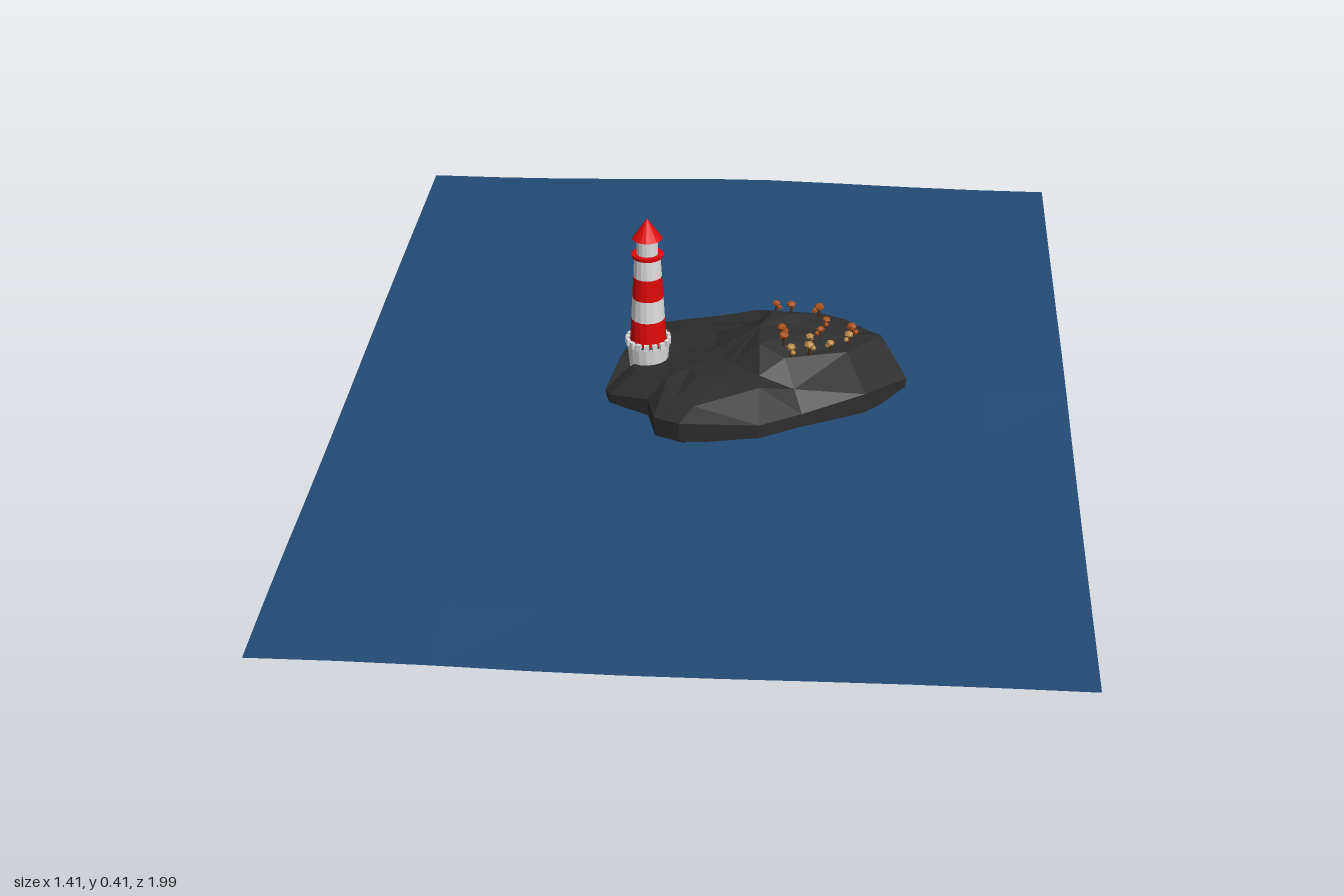
import * as THREE from 'three';

const mat = (name, color, extra = {}) => {
  const m = new THREE.MeshStandardMaterial({ color, flatShading: true, ...extra });
  m.name = name;
  return m;
};

export function createModel() {
  const sea = mat('sea blue', 0x234b76, { side: THREE.DoubleSide });
  const stone = mat('dark rock', 0x2e2e2e, { side: THREE.DoubleSide });
  const white = mat('tower white', 0xdcdcdc);
  const red = mat('tower red', 0xe00808);
  const floorGrey = mat('floor grey', 0x4a4a4a);
  const trunkBrown = mat('trunk brown', 0x4a2a14);
  const orange = mat('leaf orange', 0xa8501a);
  const tan = mat('leaf tan', 0xb98a45);

  const model = new THREE.Group();
  const add = (parent, name, geo, material, x = 0, y = 0, z = 0) => {
    const mesh = new THREE.Mesh(geo, material);
    mesh.name = name;
    mesh.position.set(x, y, z);
    parent.add(mesh);
    return mesh;
  };

  // Sea: a coarse sheet with gentle swells
  const water = new THREE.PlaneGeometry(1.41, 1.99, 9, 12).rotateX(-Math.PI / 2);
  const wp = water.attributes.position;
  const swell = (x, z, cx, cz, r, h) => h * Math.exp(-((x - cx) ** 2 + (z - cz) ** 2) / (r * r));
  for (let i = 0; i < wp.count; i++) {
    const x = wp.getX(i), z = wp.getZ(i);
    const y = 0.054 + 0.003 * Math.sin(x * 5 + z * 2) * Math.cos(z * 3 - x)
      + swell(x, z, -0.45, 0.74, 0.22, 0.011) + swell(x, z, 0.05, 0.55, 0.18, 0.009)
      + swell(x, z, 0.53, -0.1, 0.2, 0.01) - swell(x, z, 0.7, 0.7, 0.3, 0.003);
    wp.setY(i, y);
    if (z < -0.99) wp.setZ(i, -0.985 - 0.015 * Math.exp(-x * x * 12));
  }
  water.computeVertexNormals();
  add(model, 'sea', water, sea);

  // Island outline: x, z, low edge height, high edge height, keel height
  const outline = [
    [-0.13, -0.22, 0.05, 0.075, 0.035], [0.0, -0.215, 0.05, 0.07, 0.02], [0.09, -0.2, 0.05, 0.07, 0.008],
    [0.18, -0.15, 0.045, 0.085, 0.01], [0.3, -0.11, 0.05, 0.1, 0.02], [0.36, -0.05, 0.06, 0.1, 0.03],
    [0.39, 0.02, 0.075, 0.095, 0.035], [0.31, 0.1, 0.05, 0.1, 0.025], [0.19, 0.16, 0.045, 0.085, 0.01],
    [0.11, 0.21, 0.045, 0.085, 0.003], [-0.04, 0.24, 0.06, 0.1, 0.01], [-0.09, 0.21, 0.055, 0.095, 0.02],
    [-0.11, 0.13, 0.05, 0.09, 0.025], [-0.19, 0.08, 0.035, 0.07, 0.025], [-0.2, 0.05, 0.045, 0.065, 0.03],
    [-0.175, -0.02, 0.085, 0.105, 0.08], [-0.16, -0.09, 0.07, 0.1, 0.075], [-0.16, -0.18, 0.05, 0.085, 0.035],
  ];
  // Summit heights blended between a few spots: x, z, height
  const spots = [
    [-0.17, 0, 0.112], [-0.12, 0, 0.116], [-0.07, 0, 0.118], [-0.12, -0.18, 0.1], [-0.05, 0.19, 0.112],
    [0, -0.15, 0.12], [0, 0, 0.138], [0.02, 0.1, 0.142], [0.08, 0.14, 0.145], [0.1, -0.12, 0.142],
    [0.14, 0, 0.2], [0.13, 0.06, 0.19], [0.15, -0.05, 0.202], [0.22, 0.09, 0.172], [0.26, 0.05, 0.187],
    [0.33, 0, 0.186], [0.24, -0.06, 0.19], [0.3, -0.08, 0.145], [0.2, 0.14, 0.115], [0.2, -0.13, 0.115],
  ];
  const height = (x, z) => {
    let sum = 0, weight = 0;
    for (const [sx, sz, h] of spots) {
      const w = 1 / (((x - sx) ** 2 + (z - sz) ** 2) ** 1.6 + 1e-7);
      sum += w * h;
      weight += w;
    }
    return sum / weight;
  };
  const cx = 0.1, cz = 0;
  const ring = (s, yOf) => outline.map((p, i) => {
    const x = cx + (p[0] - cx) * s, z = cz + (p[1] - cz) * s;
    return [x, yOf(p, x, z, i), z];
  });
  const top = (p, x, z) => height(x, z);
  const rings = [
    ring(0, () => 0.055), ring(0.74, p => p[4]), ring(0.99, p => p[2]), ring(1, p => p[3]),
    ring(0.82, top), ring(0.6, top), ring(0.33, top), ring(0, top),
  ];
  const verts = [];
  for (let k = 0; k + 1 < rings.length; k++) {
    for (let i = 0; i < outline.length; i++) {
      const j = (i + 1) % outline.length;
      const a = rings[k][i], b = rings[k][j], c = rings[k + 1][j], d = rings[k + 1][i];
      if (k + 2 < rings.length) verts.push(...a, ...d, ...c);
      if (k > 0) verts.push(...a, ...c, ...b);
    }
  }
  const rockGeo = new THREE.BufferGeometry();
  rockGeo.setAttribute('position', new THREE.Float32BufferAttribute(verts, 3));
  rockGeo.computeVertexNormals();
  const rock = add(model, 'rockIsland', rockGeo, stone);

  // Lighthouse: flared base, striped shaft, gallery, lantern and roof
  const tower = new THREE.Group();
  tower.name = 'lighthouse';
  tower.position.set(-0.118, 0, 0.005);
  model.add(tower);
  const drum = (name, y0, y1, r0, r1, material) =>
    add(tower, name, new THREE.CylinderGeometry(r1, r0, y1 - y0, 16), material, 0, (y0 + y1) / 2, 0);
  drum('base', 0.095, 0.152, 0.037, 0.042, white);
  drum('baseFloor', 0.152, 0.154, 0.041, 0.041, floorGrey);
  for (let i = 0; i < 16; i++) {
    const a = (i / 16) * Math.PI * 2;
    const post = add(tower, 'parapetBlock', new THREE.BoxGeometry(0.01, 0.013, 0.007), white,
      Math.sin(a) * 0.041, 0.156, Math.cos(a) * 0.041);
    post.rotation.y = a;
  }
  const levels = [0.152, 0.205, 0.25, 0.295, 0.337];
  const radius = y => 0.036 - (y - 0.152) * 0.056;
  for (let i = 0; i < 4; i++) {
    drum(i % 2 ? 'whiteBand' : 'redBand', levels[i], levels[i + 1],
      radius(levels[i]), radius(levels[i + 1]), i % 2 ? white : red);
  }
  drum('gallery', 0.336, 0.343, 0.03, 0.031, red);
  drum('lantern', 0.343, 0.378, 0.021, 0.021, white);
  add(tower, 'roof', new THREE.ConeGeometry(0.029, 0.042, 16), red, 0, 0.396, 0);

  // Small autumn shrubs standing on the summit: x, z, tan or orange
  const shrubs = [
    [0.13, -0.06, 0], [0.16, -0.04, 0], [0.215, -0.05, 0], [0.23, -0.01, 0], [0.145, 0.04, 0],
    [0.15, 0.065, 0], [0.22, 0.03, 0], [0.165, 0.09, 1], [0.2, 0.088, 1], [0.24, 0.075, 1],
    [0.275, 0.045, 1], [0.28, 0.02, 0], [0.2, 0.055, 1],
  ];
  const ray = new THREE.Raycaster();
  const down = new THREE.Vector3(0, -1, 0);
  shrubs.forEach(([x, z, pale], i) => {
    ray.set(new THREE.Vector3(x, 1, z), down);
    const hit = ray.intersectObject(rock)[0];
    const shrub = new THREE.Group();
    shrub.name = 'shrub';
    shrub.position.set(x, hit ? hit.point.y : height(x, z), z);
    shrub.rotation.y = i * 1.7;
    shrub.scale.setScalar(0.85 + 0.1 * (i % 3));
    model.add(shrub);
    add(shrub, 'trunk', new THREE.CylinderGeometry(0.002, 0.003, 0.024, 5), trunkBrown, 0, 0.008, 0);
    const leaf = pale ? tan : orange;
    add(shrub, 'crown', new THREE.IcosahedronGeometry(0.01, 0), leaf, 0, 0.021, 0).scale.y = 0.75;
    add(shrub, 'sideLeaf', new THREE.IcosahedronGeometry(0.006, 0), leaf, 0.008, 0.012, 0.003);
  });

  return model;
}
